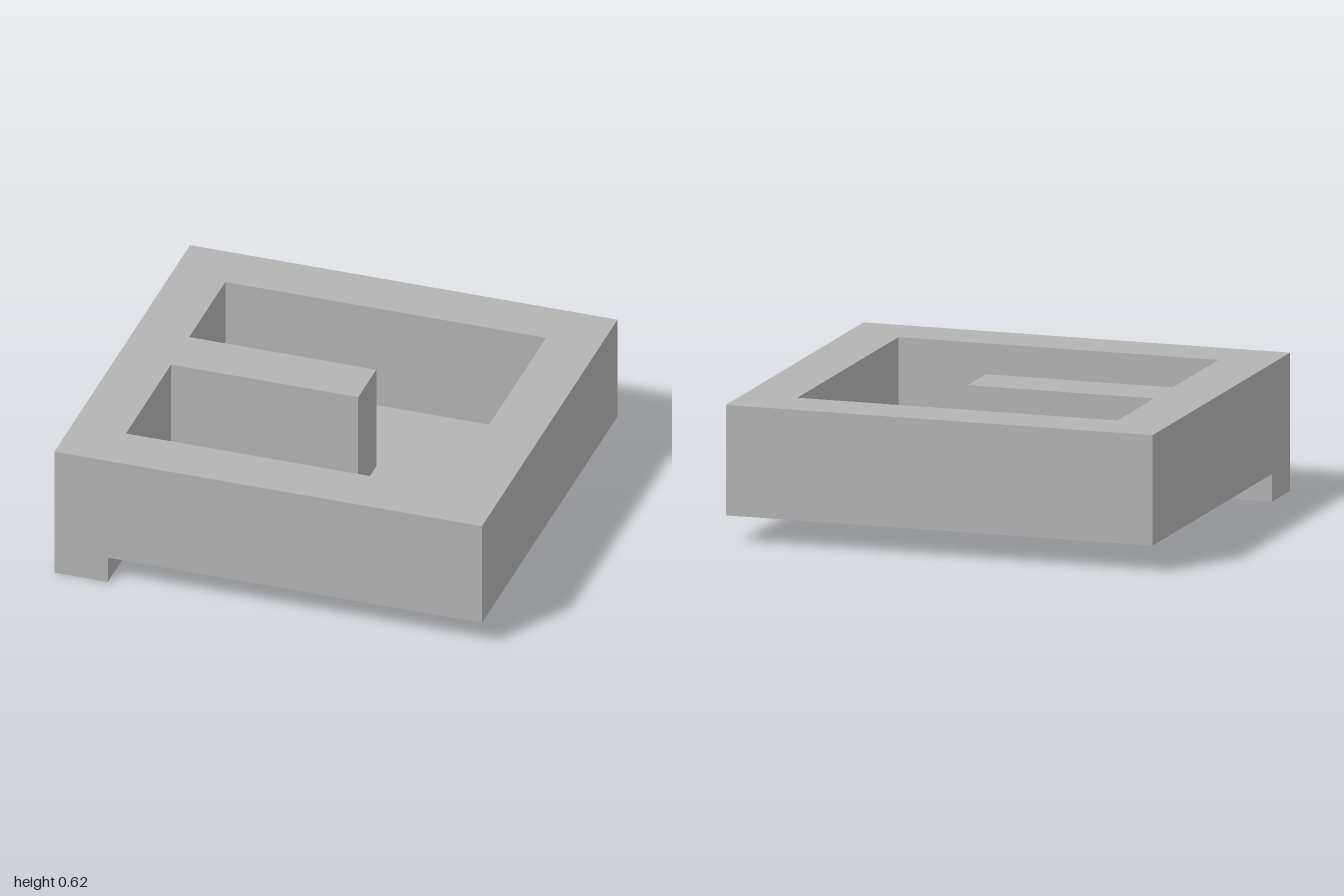
import * as THREE from 'three';

const BASE = 0.125, TOP = 0.625, HX = 1, HZ = 0.9375;

// Outlines as [x, z]: counter-clockwise from above faces outward, clockwise faces inward
const rect = (x0, x1, z0, z1) => [[x0, z1], [x1, z1], [x1, z0], [x0, z0]];
const outer = rect(-HX, HX, -HZ, HZ);
const foot = rect(-1, -0.75, 0.6875, HZ);
// C-shaped pocket running around the central tongue
const pocket = [
  [-0.75, -0.6875], [0.75, -0.6875], [0.75, 0.6875], [-0.75, 0.6875],
  [-0.75, 0.0625], [0.125, 0.0625], [0.125, -0.1875], [-0.75, -0.1875],
];

// Upright walls following a closed outline
function walls(outline, y0, y1) {
  const pos = [];
  outline.forEach(([ax, az], i) => {
    const [bx, bz] = outline[(i + 1) % outline.length];
    pos.push(ax, y0, az, bx, y0, bz, bx, y1, bz);
    pos.push(ax, y0, az, bx, y1, bz, ax, y1, az);
  });
  const g = new THREE.BufferGeometry();
  g.setAttribute('position', new THREE.Float32BufferAttribute(pos, 3));
  g.computeVertexNormals();
  return g;
}

// Flat sheet at height y, facing up or down, with an optional hole
function sheet(outline, y, hole, up = true) {
  const s = up ? -1 : 1;
  const pts = (list) => list.map(([x, z]) => new THREE.Vector2(x, s * z));
  const shape = new THREE.Shape(pts(outline));
  if (hole) shape.holes.push(new THREE.Path(pts(hole)));
  return new THREE.ShapeGeometry(shape).rotateX(s * Math.PI / 2).translate(0, y, 0);
}

export function createModel() {
  const group = new THREE.Group();
  const grey = new THREE.MeshStandardMaterial({ color: 0xb3b3b3 });
  grey.name = 'plain grey';
  grey.side = THREE.DoubleSide;

  const add = (name, geometry) => {
    const mesh = new THREE.Mesh(geometry, grey);
    mesh.name = name;
    group.add(mesh);
  };

  // Hollow block, open underneath the rim and the tongue
  add('outerWalls', walls(outer, BASE, TOP));
  add('topRimAndTongue', sheet(outer, TOP, pocket));
  add('pocketWalls', walls(pocket, BASE, TOP));
  add('pocketFloor', sheet(pocket, BASE));

  // Single corner foot
  add('footWalls', walls(foot, 0, BASE));
  add('footSole', sheet(foot, 0, null, false));
  return group;
}
